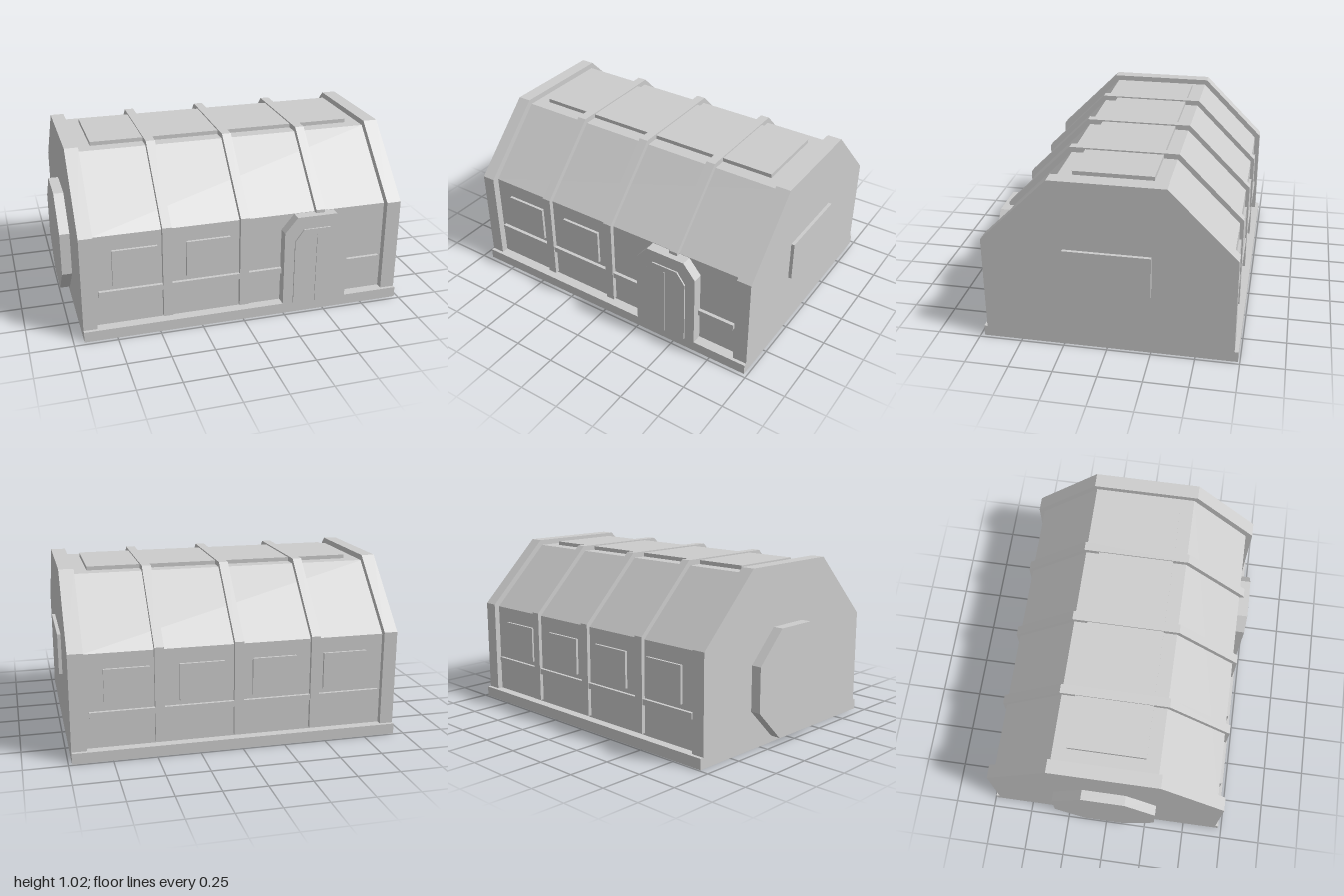
import * as THREE from 'three';

export function createModel() {
  const model = new THREE.Group();
  model.name = 'shelterBuilding';
  const grey = new THREE.MeshStandardMaterial({ color: 0xcccccc });
  grey.name = 'plain grey';

  const add = (name, geometry) => {
    const mesh = new THREE.Mesh(geometry, grey);
    mesh.name = name;
    model.add(mesh);
    return mesh;
  };
  const box = (name, x0, x1, y0, y1, z0, z1) => {
    const g = new THREE.BoxGeometry(x1 - x0, y1 - y0, z1 - z0);
    g.translate((x0 + x1) / 2, (y0 + y1) / 2, (z0 + z1) / 2);
    return add(name, g);
  };
  const toPoints = (list) => list.map(([a, b]) => new THREE.Vector2(a, b));
  const extrude = (shape, depth) => new THREE.ExtrudeGeometry(shape, { depth, bevelEnabled: false });

  // Barn-shaped section in z and y, swept along x
  const section = (name, x0, x1, bottom, eave, top, front, back, topFront, topBack) => {
    const shape = new THREE.Shape(toPoints([
      [back, bottom], [front, bottom], [front, eave],
      [topFront, top], [topBack, top], [back, eave],
    ]));
    const g = extrude(shape, x1 - x0);
    g.rotateY(-Math.PI / 2);
    g.translate(x1, 0, 0);
    return add(name, g);
  };

  // Base slab, hall and end walls
  box('base', -0.94, 0.98, 0, 0.063, -0.74, 0.727);
  section('hall', -0.87, 0.9, 0.05, 0.615, 0.985, 0.665, -0.685, 0.297, -0.317);
  section('rightEndWall', -0.94, -0.86, 0.05, 0.63, 1.018, 0.707, -0.718, 0.317, -0.33);
  section('leftEndWall', 0.893, 0.98, 0.05, 0.63, 1.018, 0.707, -0.718, 0.317, -0.33);

  // Ribs over walls and roof
  for (const x of [-0.443, 0.015, 0.475]) {
    section('rib', x - 0.027, x + 0.027, 0.075, 0.632, 1.016, 0.692, -0.707, 0.31, -0.327);
  }

  // Roof panel
  box('roofPanel', -0.78, 0.812, 0.97, 1.008, -0.237, 0.217);

  // Wall rails
  box('frontRail', -0.84, 0.25, 0.245, 0.28, 0.65, 0.686);
  box('frontRail', 0.63, 0.872, 0.245, 0.28, 0.65, 0.686);
  box('backRail', -0.84, 0.872, 0.245, 0.28, -0.704, -0.67);

  // Windows
  [-0.627, -0.199, 0.228, 0.657].forEach((x, i) => {
    box('backWindow', x - 0.13, x + 0.13, 0.308, 0.525, -0.7, -0.67);
    if (i < 2) box('frontWindow', x - 0.13, x + 0.13, 0.308, 0.525, 0.65, 0.682);
  });

  // Doorway: arched surround, door and centre seam
  const arch = (half, side, topHalf, top) => toPoints([
    [-half, 0.063], [half, 0.063], [half, side], [topHalf, top], [-topHalf, top], [-half, side],
  ]);
  const surround = extrude(new THREE.Shape(arch(0.198, 0.522, 0.122, 0.613)), 0.077);
  surround.translate(0.444, 0, 0.65);
  add('doorSurround', surround);
  const door = extrude(new THREE.Shape(arch(0.136, 0.465, 0.083, 0.537)), 0.036);
  door.translate(0.444, 0, 0.7);
  add('door', door);
  box('doorSeam', 0.442, 0.446, 0.065, 0.505, 0.73, 0.741);

  // End panel on the left wall
  box('endPanel', 0.96, 1, 0.37, 0.613, -0.25, 0.242);

  // Octagonal hatch on the right wall
  const hatch = new THREE.CylinderGeometry(0.343, 0.343, 0.08, 8, 1, false, Math.PI / 8).toNonIndexed();
  hatch.computeVertexNormals();
  hatch.rotateZ(Math.PI / 2);
  hatch.translate(-0.96, 0.355, -0.01);
  add('octagonalHatch', hatch);

  return model;
}
